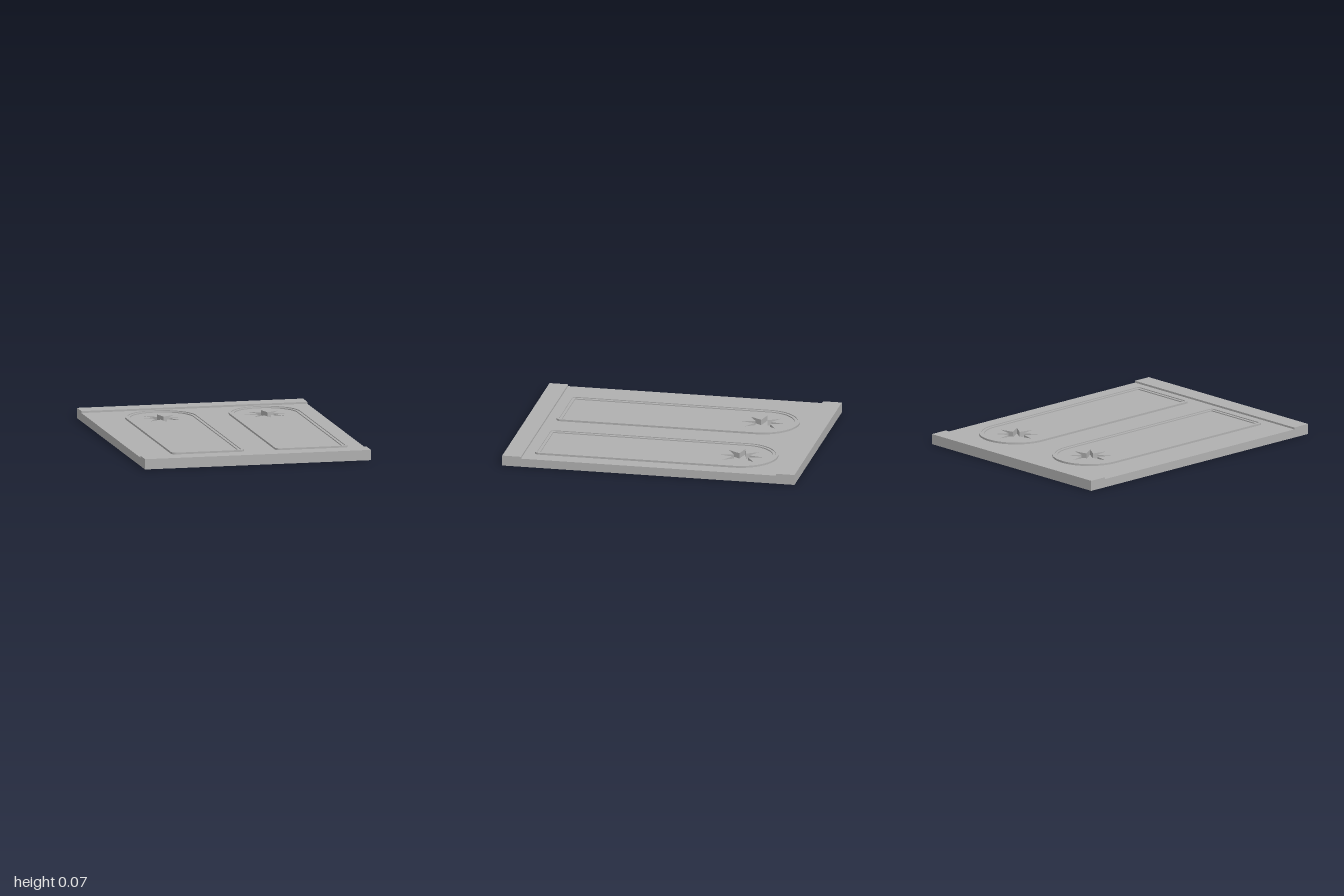
import * as THREE from 'three';

const HALF_W = 0.777, FLOOR = 0.02, FIELD = 0.057, TOP = 0.07, RAIL = 0.128;
const ARCH_Z = -0.56, PANEL_X = [-0.295, 0.42];

// Shapes are drawn with y = -z and laid flat
function slab(shape, y0, y1) {
  const g = new THREE.ExtrudeGeometry(shape, { depth: y1 - y0, bevelEnabled: false, curveSegments: 24 });
  return g.rotateX(-Math.PI / 2).translate(0, y0, 0);
}

// Round-topped outline, inset by d from the outer edge of the moulding
function archOutline(target, cx, d) {
  const r = 0.25 - d, c = Math.max(0.035 - d, 0), bottom = -0.805 + d;
  target.moveTo(cx - r + c, bottom);
  target.lineTo(cx + r - c, bottom);
  if (c > 0) target.absarc(cx + r - c, bottom + c, c, -Math.PI / 2, 0, false);
  target.lineTo(cx + r, -ARCH_Z);
  target.absarc(cx, -ARCH_Z, r, 0, Math.PI, false);
  target.lineTo(cx - r, bottom + c);
  if (c > 0) target.absarc(cx - r + c, bottom + c, c, Math.PI, Math.PI * 1.5, false);
  return target;
}

function archBand(cx, outer, inner, height) {
  const shape = archOutline(new THREE.Shape(), cx, outer);
  shape.holes.push(archOutline(new THREE.Path(), cx, inner));
  return slab(shape, FIELD, height);
}

// Eight-pointed star opening
function starPath(cx) {
  const pts = [];
  for (let i = 0; i < 16; i++) {
    const a = i * Math.PI / 8, r = i % 2 ? 0.058 : 0.15;
    pts.push(new THREE.Vector2(cx + r * Math.cos(a), -ARCH_Z + r * Math.sin(a)));
  }
  return new THREE.Path(pts);
}

export function createModel() {
  const group = new THREE.Group();
  const grey = new THREE.MeshStandardMaterial({ color: 0xb0b0b0 });
  grey.name = 'plain grey';
  const add = (name, geometry) => {
    const mesh = new THREE.Mesh(geometry, grey);
    mesh.name = name;
    group.add(mesh);
  };

  // Backing sheet, which is also the floor of the star recesses
  add('backing', new THREE.BoxGeometry(HALF_W * 2, FLOOR, 2).translate(0, FLOOR / 2, 0));

  // Main field with the two stars cut into it
  const field = new THREE.Shape([[-1, -1], [1, -1], [1, 1], [-1, 1]]
    .map(([x, y]) => new THREE.Vector2(x * HALF_W, y)));
  PANEL_X.forEach(x => field.holes.push(starPath(x)));
  add('field', slab(field, FLOOR, FIELD));

  // Raised rails across both ends
  for (const [name, s] of [['frontRail', 1], ['backRail', -1]]) {
    add(name, new THREE.BoxGeometry(HALF_W * 2, TOP - FIELD, RAIL)
      .translate(0, (TOP + FIELD) / 2, s * (1 - RAIL / 2)));
  }

  // Stepped arch mouldings
  PANEL_X.forEach((x, i) => {
    const side = i ? 'left' : 'right';
    add(side + 'OuterMoulding', archBand(x, 0, 0.017, TOP));
    add(side + 'InnerMoulding', archBand(x, 0.017, 0.035, 0.064));
  });
  return group;
}
